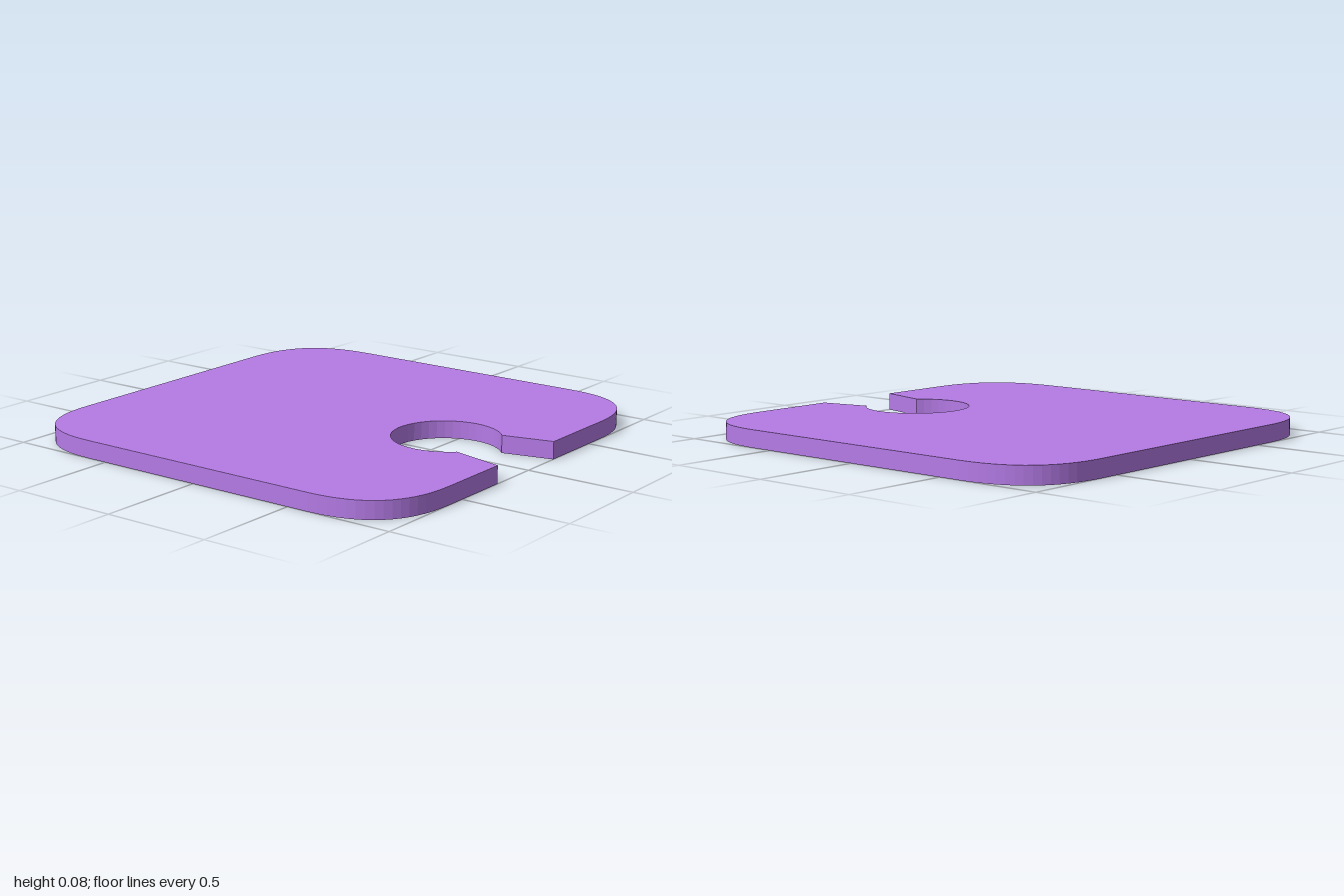
import * as THREE from 'three';

const THICKNESS = 0.08;
const CORNER = 0.4;

// Rounded square outline with a keyhole notch in the +x edge (shape y = -z)
function plateShape() {
  const s = new THREE.Shape();
  const k = 1 - CORNER;
  s.moveTo(-k, -1);
  s.lineTo(k, -1);
  s.quadraticCurveTo(1, -1, 1, -k);

  // notch: tapered mouth leading to a round pocket
  const cx = 0.585, cy = -0.008, r = 0.242;
  const lower = [0.757, -0.18], upper = [0.772, 0.147];
  const angle = ([x, y]) => Math.atan2(y - cy, x - cx);
  s.lineTo(1, -0.24);
  s.lineTo(...lower);
  s.absarc(cx, cy, r, angle(lower), angle(upper), true);
  s.lineTo(1, 0.2);

  s.lineTo(1, k);
  s.quadraticCurveTo(1, 1, k, 1);
  s.lineTo(-k, 1);
  s.quadraticCurveTo(-1, 1, -1, k);
  s.lineTo(-1, -k);
  s.quadraticCurveTo(-1, -1, -k, -1);
  return s;
}

export function createModel() {
  const group = new THREE.Group();
  group.name = 'notchedPlate';

  // flat plate, laid down so its thickness runs up from y = 0
  const geometry = new THREE.ExtrudeGeometry(plateShape(), {
    depth: THICKNESS,
    bevelEnabled: false,
    curveSegments: 16,
  });
  geometry.rotateX(-Math.PI / 2);

  const plate = new THREE.Mesh(geometry, new THREE.MeshStandardMaterial({ color: 0xb57be6 }));
  plate.name = 'plate';
  group.add(plate);
  return group;
}
